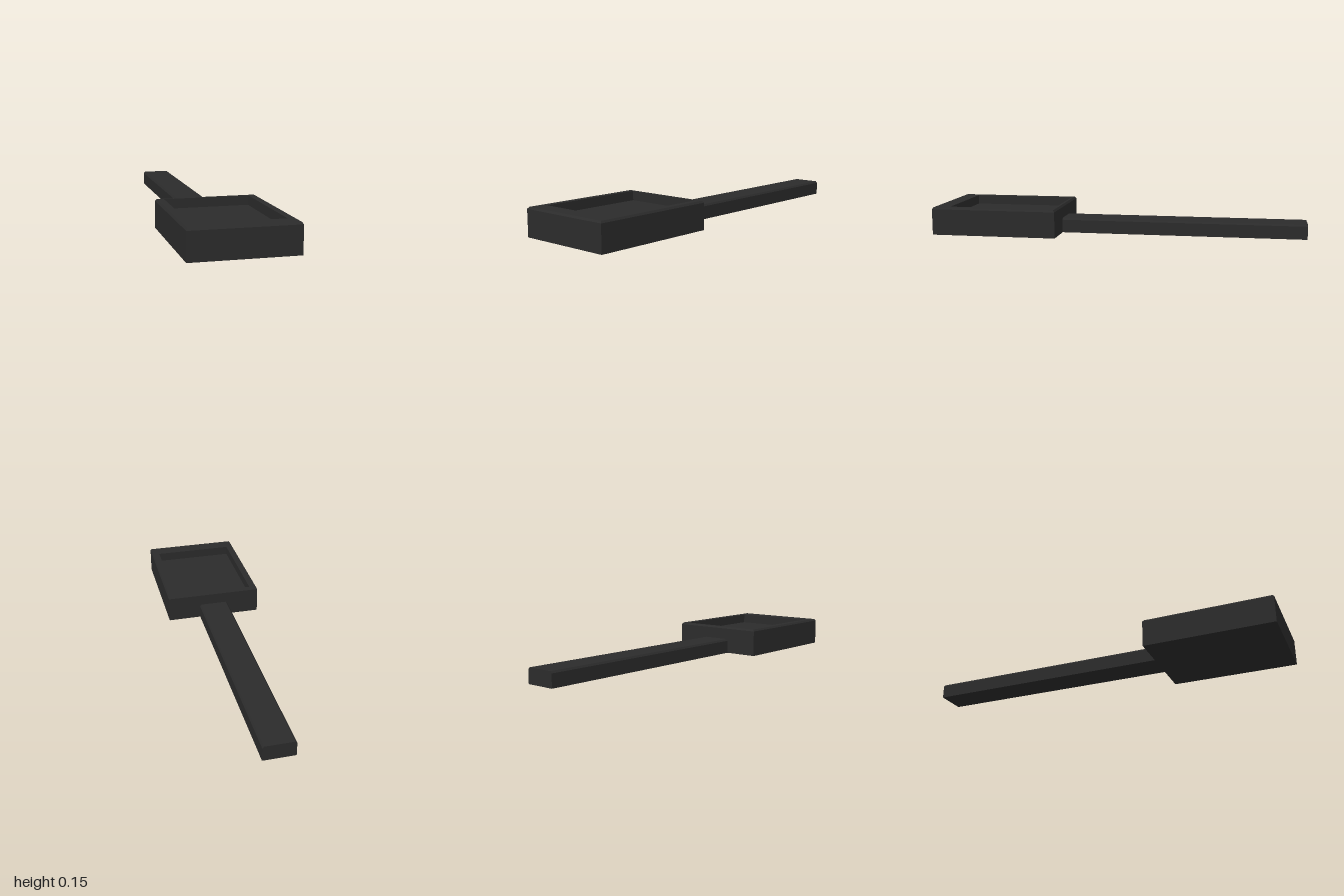
import * as THREE from 'three';

const material = new THREE.MeshStandardMaterial({ color: 0x2b2b2b });

// Corners of a horizontal rectangle, counter-clockwise seen from above
const ring = (halfX, y, zBack, zFront) => [
  [-halfX, y, zFront], [halfX, y, zFront], [halfX, y, zBack], [-halfX, y, zBack],
];

// Flat-faced solid through successive rectangles, capped at both ends
function loft(rings) {
  const pos = [];
  const quad = (a, b, c, d) => pos.push(...a, ...b, ...c, ...a, ...c, ...d);
  for (let r = 0; r < rings.length - 1; r++) {
    for (let i = 0; i < 4; i++) {
      const j = (i + 1) % 4;
      quad(rings[r][i], rings[r][j], rings[r + 1][j], rings[r + 1][i]);
    }
  }
  quad(...[...rings[0]].reverse());
  quad(...rings[rings.length - 1]);
  const geometry = new THREE.BufferGeometry();
  geometry.setAttribute('position', new THREE.Float32BufferAttribute(pos, 3));
  geometry.computeVertexNormals();
  return geometry;
}

function addPart(group, name, geometry) {
  const mesh = new THREE.Mesh(geometry, material);
  mesh.name = name;
  group.add(mesh);
}

export function createModel() {
  const group = new THREE.Group();
  group.name = 'trayWithHandle';

  // Tray: outer walls, chamfered rim, then down into the shallow recess
  addPart(group, 'tray', loft([
    ring(0.265, 0, 0.32, 1),
    ring(0.265, 0.14, 0.32, 1),
    ring(0.257, 0.15, 0.328, 0.992),
    ring(0.222, 0.15, 0.342, 0.91),
    ring(0.222, 0.10, 0.342, 0.91),
  ]));

  // Handle: long bar with chamfered upper edges
  const profile = new THREE.Shape([
    [-0.082, 0], [0.082, 0], [0.082, 0.07], [0.074, 0.08], [-0.074, 0.08], [-0.082, 0.07],
  ].map(([x, y]) => new THREE.Vector2(x, y)));
  const handle = new THREE.ExtrudeGeometry(profile, { depth: 1.32, bevelEnabled: false });
  handle.translate(0, 0, -1);
  addPart(group, 'handle', handle);

  return group;
}
